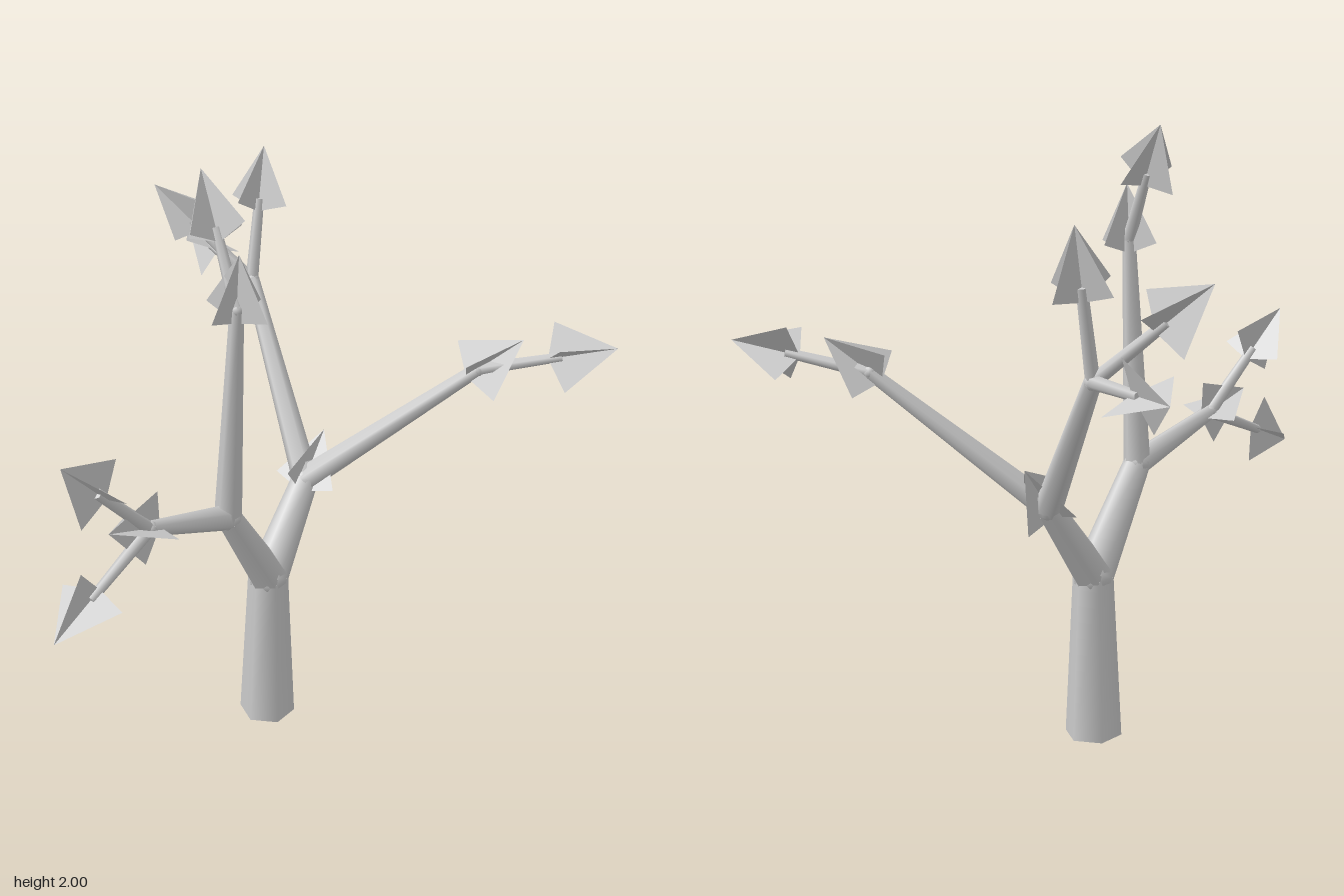
import * as THREE from 'three';

const UP = new THREE.Vector3(0, 1, 0);
const grey = new THREE.MeshStandardMaterial({ color: 0xcccccc, side: THREE.DoubleSide });
grey.name = 'pale grey';

// Joints of the tree: position and limb radius
const joints = {
  root: [0.11, 0, 0.045, 0.095],
  fork: [0.11, 0.55, 0.043, 0.068],
  rightFork: [-0.105, 0.885, 0.045, 0.045],
  leftFork: [0.32, 0.83, 0.035, 0.045],
  topNode: [-0.108, 1.62, 0.083, 0.022],
  topTip: [-0.066, 1.84, -0.03, 0.015],
  sideNode: [-0.45, 1.0, 0.02, 0.026],
  sideUpperTip: [-0.635, 1.195, -0.015, 0.017],
  sideLowerTip: [-0.725, 0.885, 0.025, 0.015],
  frontNode: [0.65, 1.25, 0.475, 0.024],
  frontTip: [0.80, 1.305, 0.695, 0.016],
  backNode: [0.59, 1.345, -0.41, 0.026],
  backUpperTip: [0.65, 1.62, -0.427, 0.017],
  backMiddleTip: [0.52, 1.53, -0.62, 0.016],
  backLowerTip: [0.70, 1.365, -0.68, 0.016],
};

// Segments: name, start, end, leaf at the end
const segments = [
  ['trunk', 'root', 'fork', false],
  ['rightLimb', 'fork', 'rightFork', false],
  ['leftLimb', 'fork', 'leftFork', true],
  ['topBranch', 'rightFork', 'topNode', true],
  ['topTwig', 'topNode', 'topTip', true],
  ['sideBranch', 'rightFork', 'sideNode', true],
  ['sideUpperTwig', 'sideNode', 'sideUpperTip', true],
  ['sideLowerTwig', 'sideNode', 'sideLowerTip', true],
  ['frontBranch', 'leftFork', 'frontNode', true],
  ['frontTwig', 'frontNode', 'frontTip', true],
  ['backBranch', 'leftFork', 'backNode', false],
  ['backUpperTwig', 'backNode', 'backUpperTip', true],
  ['backMiddleTwig', 'backNode', 'backMiddleTip', true],
  ['backLowerTwig', 'backNode', 'backLowerTip', true],
];

// Kite-shaped blade, pointing up, with its origin at the branch tip
function bladeGeometry() {
  const kite = new THREE.Shape();
  kite.moveTo(0, -0.045);
  kite.lineTo(0.117, -0.008);
  kite.lineTo(0, 0.178);
  kite.lineTo(-0.117, -0.008);
  return new THREE.ShapeGeometry(kite);
}

export function createModel() {
  const tree = new THREE.Group();
  tree.name = 'tree';
  const blade = bladeGeometry();

  for (const [name, from, to, hasLeaf] of segments) {
    const a = new THREE.Vector3(...joints[from]);
    const b = new THREE.Vector3(...joints[to]);
    const direction = b.clone().sub(a);
    const length = direction.length();
    direction.normalize();
    const turn = new THREE.Quaternion().setFromUnitVectors(UP, direction);
    const isTwig = to.endsWith('Tip');
    const r1 = joints[to][3];
    const r0 = isTwig ? Math.min(joints[from][3], 0.022) : joints[from][3];

    // Six-sided tapered limb, with a vertex towards x
    const geometry = new THREE.CylinderGeometry(r1, r0, length, 6, 1);
    geometry.rotateY(Math.PI / 2);
    const limb = new THREE.Mesh(geometry, grey);
    limb.name = name;
    limb.position.copy(a).lerp(b, 0.5);
    limb.quaternion.copy(turn);
    tree.add(limb);

    // Rounded knuckle where limbs meet
    if (!isTwig) {
      const knuckle = new THREE.Mesh(new THREE.SphereGeometry(r1 * 0.97, 10, 8), grey);
      knuckle.name = to + 'Knuckle';
      knuckle.position.copy(b);
      tree.add(knuckle);
    }

    // Leaf made of two crossed blades
    if (hasLeaf) {
      const leaf = new THREE.Group();
      leaf.name = name + 'Leaf';
      for (const angle of [0, Math.PI / 2]) {
        const mesh = new THREE.Mesh(blade, grey);
        mesh.name = 'leafBlade';
        mesh.rotation.y = angle;
        leaf.add(mesh);
      }
      leaf.position.copy(b);
      leaf.quaternion.copy(turn);
      tree.add(leaf);
    }
  }
  return tree;
}
